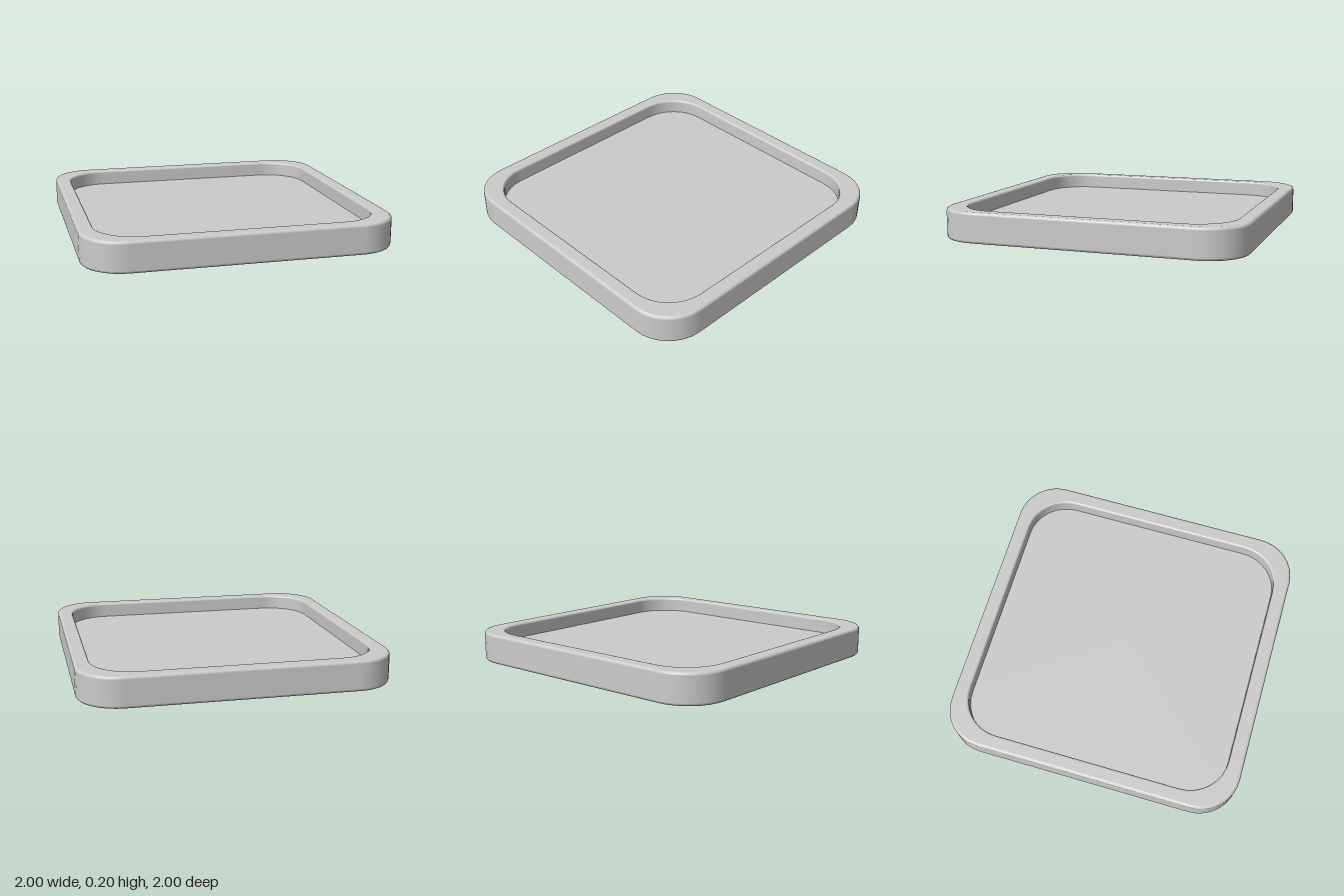
import * as THREE from 'three';

const CORNER_STEPS = 8;
const BEVEL_STEPS = 3;

// Section point: corner-centre offset, corner radius, height, outward and upward normal
const point = (centre, radius, y, out, up) => ({ centre, radius, y, out, up });

// Quarter-round edge of the section, swept between two angles
function bevel(centre, radius, y, size, from, to) {
  return Array.from({ length: BEVEL_STEPS + 1 }, (_, i) => {
    const a = from + (to - from) * i / BEVEL_STEPS;
    const c = Math.cos(a), s = Math.sin(a);
    return point(centre, radius + size * c, y + size * s, c, s);
  });
}

// Sweep the section around a rounded square, with smooth normals
function sweepRoundedSquare(section) {
  const positions = [], normals = [], index = [];
  const ring = 4 * (CORNER_STEPS + 1);
  for (const p of section) {
    for (let corner = 0; corner < 4; corner++) {
      const mid = (corner + 0.5) * Math.PI / 2;
      const sx = Math.sign(Math.cos(mid)), sz = Math.sign(Math.sin(mid));
      for (let i = 0; i <= CORNER_STEPS; i++) {
        const a = (corner + i / CORNER_STEPS) * Math.PI / 2;
        const c = Math.cos(a), s = Math.sin(a);
        positions.push(sx * p.centre + p.radius * c, p.y, sz * p.centre + p.radius * s);
        normals.push(p.out * c, p.up, p.out * s);
      }
    }
  }
  for (let j = 0; j < section.length - 1; j++) {
    for (let i = 0; i < ring; i++) {
      const k = (i + 1) % ring;
      const a = j * ring + i, b = a + ring, c = j * ring + k, d = c + ring;
      index.push(a, b, c, c, b, d);
    }
  }
  const geometry = new THREE.BufferGeometry();
  geometry.setAttribute('position', new THREE.Float32BufferAttribute(positions, 3));
  geometry.setAttribute('normal', new THREE.Float32BufferAttribute(normals, 3));
  geometry.setIndex(index);
  return geometry;
}

export function createModel() {
  const group = new THREE.Group();
  group.name = 'tray';
  const material = new THREE.MeshStandardMaterial({ color: 0xcccccc });
  const add = (name, section) => {
    const mesh = new THREE.Mesh(sweepRoundedSquare(section), material);
    mesh.name = name;
    group.add(mesh);
  };

  const height = 0.2, floorY = 0.1, edge = 0.02, lip = 0.015;
  const outer = 0.73, inner = 0.63, radius = 0.27;
  const quarter = Math.PI / 2;

  // Underside, outer wall, rim and inner wall
  add('trayBody', [
    point(0, 0, 0, 0, -1),
    ...bevel(outer, radius - edge, edge, edge, -quarter, 0),
    ...bevel(outer, radius - edge, height - edge, edge, 0, quarter),
    ...bevel(inner, radius + lip, height - lip, lip, quarter, 2 * quarter),
    point(inner, radius, floorY, -1, 0),
  ]);

  // Recessed flat floor
  add('trayFloor', [
    point(inner, radius, floorY, 0, 1),
    point(0, 0, floorY, 0, 1),
  ]);

  return group;
}
